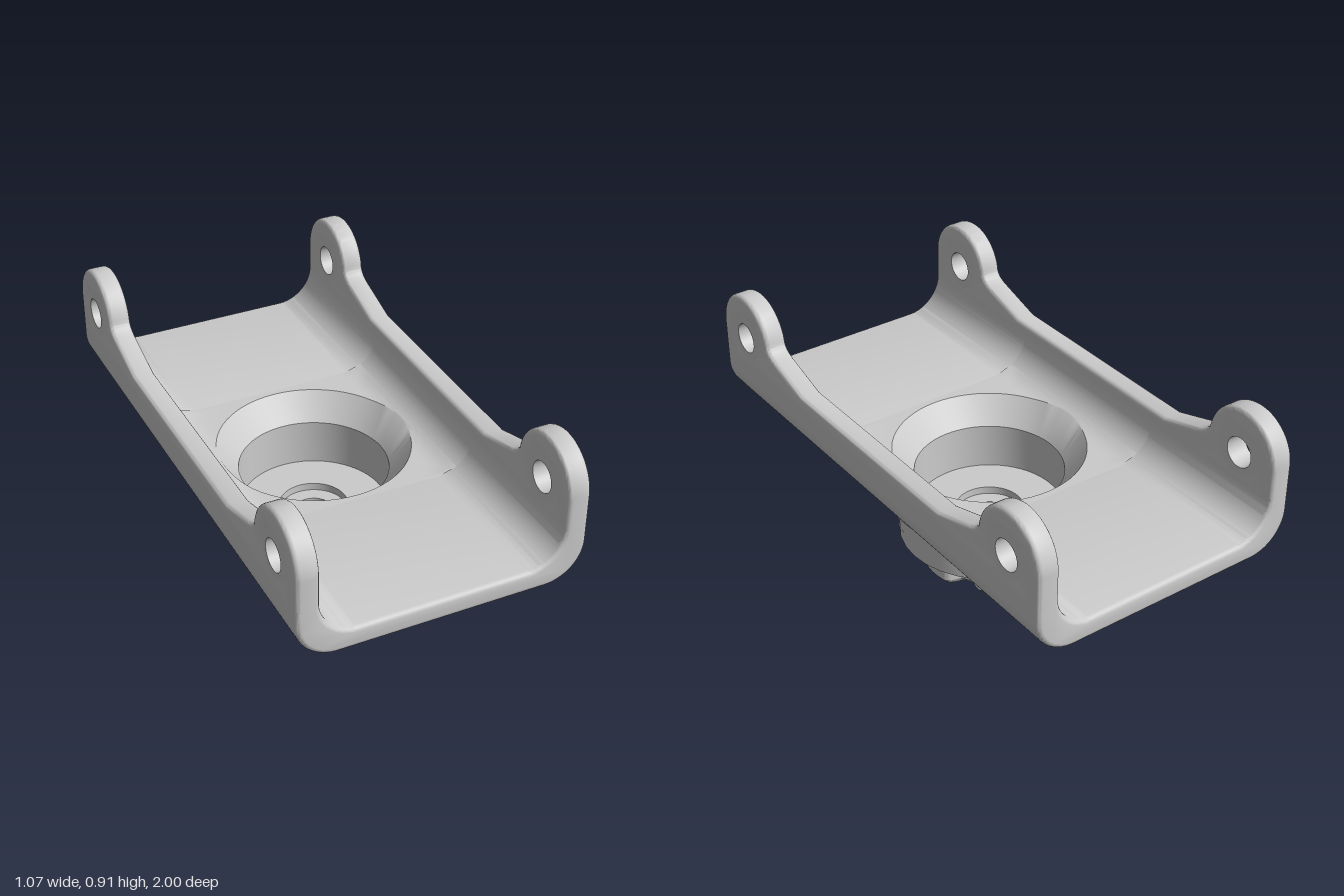
import * as THREE from 'three';
import { toCreasedNormals } from 'three/addons/utils/BufferGeometryUtils.js';
import { ParametricGeometry } from 'three/addons/geometries/ParametricGeometry.js';

const material = new THREE.MeshStandardMaterial({ color: 0xcccccc, side: THREE.DoubleSide });
const BEVEL = 0.018;
const WALL_IN = 0.45, WALL_OUT = 0.535, FLOOR = 0.42, FLOOR_TOP = 0.5;
const HALF = 0.385;      // half width of the floor panel around the pocket
const FILLET = 0.14;     // inner radius between floor and wall
const SLICES = 64;
const V = (x, y) => new THREE.Vector2(x, y);

function part(group, name, geometry) {
  const mesh = new THREE.Mesh(toCreasedNormals(geometry, 0.6), material);
  mesh.name = name;
  group.add(mesh);
  return mesh;
}

// Extrusion centred on z, with optional rounded edges inside the outline
function extrude(shape, depth, bevel = 0) {
  return new THREE.ExtrudeGeometry(shape, {
    depth: depth - 2 * bevel, curveSegments: 16, bevelEnabled: bevel > 0,
    bevelThickness: bevel, bevelSize: bevel, bevelOffset: -bevel, bevelSegments: 4,
  }).translate(0, 0, -depth / 2 + bevel);
}

// Extrusion standing upright between two heights
const upright = (shape, y0, y1) =>
  extrude(shape, y1 - y0).rotateX(-Math.PI / 2).translate(0, (y0 + y1) / 2, 0);

function circle(x, y, r, Type = THREE.Path) {
  return new Type().absarc(x, y, r, 0, Math.PI * 2, false);
}

// Height of the channel floor, rising along the inner fillet
function floorHeight(x) {
  const d = Math.max(0, Math.abs(x) - (WALL_IN - FILLET));
  return FLOOR_TOP + FILLET - Math.sqrt(FILLET * FILLET - d * d);
}

// Full U-shaped section for the ends of the channel
function channelSection() {
  const top = 0.64, c = WALL_IN - FILLET;
  const s = new THREE.Shape();
  s.moveTo(-HALF, FLOOR).lineTo(HALF, FLOOR);
  s.absarc(HALF, 0.57, 0.15, -Math.PI / 2, 0, false);
  s.lineTo(WALL_OUT, top).lineTo(WALL_IN, top);
  s.absarc(c, top, FILLET, 0, -Math.PI / 2, true);
  s.lineTo(-c, FLOOR_TOP);
  s.absarc(-c, top, FILLET, -Math.PI / 2, -Math.PI, true);
  s.lineTo(-WALL_OUT, top).lineTo(-WALL_OUT, 0.57);
  s.absarc(-HALF, 0.57, 0.15, Math.PI, Math.PI * 1.5, false);
  return s;
}

// Rounded lower corner beside the pocket
function cornerSection() {
  const c = WALL_IN - FILLET;
  const s = new THREE.Shape();
  s.moveTo(HALF, FLOOR);
  s.absarc(HALF, 0.57, 0.15, -Math.PI / 2, 0, false);
  s.lineTo(WALL_OUT, 0.64).lineTo(WALL_IN, 0.64);
  s.absarc(c, 0.64, FILLET, 0, -Math.acos((HALF - c) / FILLET), true);
  return s;
}

// Side wall outline with an ear at each end
function wallOutline() {
  const s = new THREE.Shape();
  s.moveTo(-1, 0.58).lineTo(1, 0.58).lineTo(1, 0.75);
  s.absarc(0.835, 0.75, 0.165, 0, Math.PI * 0.96, false);
  s.quadraticCurveTo(0.66, 0.745, 0.61, 0.732);
  s.lineTo(0.44, 0.68).lineTo(-0.44, 0.68).lineTo(-0.61, 0.732);
  s.quadraticCurveTo(-0.66, 0.745, -0.835 + 0.165 * Math.cos(0.04 * Math.PI), 0.75 + 0.165 * Math.sin(0.04 * Math.PI));
  s.absarc(-0.835, 0.75, 0.165, 0.04 * Math.PI, Math.PI, false);
  s.holes.push(circle(0.83, 0.745, 0.07), circle(-0.83, 0.745, 0.07));
  return s;
}

// Foot outline with three smooth notches
function footOutline() {
  const pts = [];
  for (let i = 0; i < 180; i++) {
    const a = (i / 180) * Math.PI * 2;
    const step = (Math.PI * 2) / 3;
    const off = (a + Math.PI / 2) / step;
    const arc = Math.abs(off - Math.round(off)) * step * 0.257;
    const r = 0.257 - 0.05 * (1 - THREE.MathUtils.smoothstep(arc, 0.02, 0.075));
    pts.push(V(r * Math.cos(a), r * Math.sin(a)));
  }
  const s = new THREE.Shape(pts);
  s.holes.push(circle(0, 0, 0.075));
  return s;
}

export function createModel() {
  const model = new THREE.Group();
  model.name = 'bracket';

  // Channel: rounded ends, corners, walls and ear bushings
  const endFrom = HALF - 0.02;
  for (const side of [1, -1]) {
    part(model, 'channelEnd', extrude(channelSection(), 1 - endFrom, BEVEL)
      .translate(0, 0, side * (1 + endFrom) / 2));

    const corner = extrude(cornerSection(), HALF * 2);
    part(model, 'channelCorner', side > 0 ? corner : corner.rotateY(Math.PI));

    const x = side * (WALL_IN + WALL_OUT) / 2;
    const thickness = WALL_OUT - WALL_IN;
    part(model, 'sideWall', extrude(wallOutline(), thickness, BEVEL)
      .rotateY(-Math.PI / 2).translate(x, 0, 0));
    for (const z of [0.83, -0.83]) {
      const ring = circle(0, 0, 0.092, THREE.Shape);
      ring.holes.push(circle(0, 0, 0.058));
      part(model, 'earHole', extrude(ring, thickness).rotateY(-Math.PI / 2).translate(x, 0.745, z));
    }
  }

  // Floor panel: cone of the pocket, then circle blended out to a square
  part(model, 'channelFloor', new ParametricGeometry((u, v, target) => {
    const a = u * Math.PI * 2, c = Math.cos(a), s = Math.sin(a);
    const edge = HALF / Math.max(Math.abs(c), Math.abs(s));
    const k = (v * 7 - 1) / 6;
    const r = v < 0.1 ? 0.28 : 0.36 + (edge - 0.36) * k;
    target.set(r * c, v < 0.1 ? 0.4 : floorHeight(r * c), r * s);
  }, SLICES, 7));

  // Underside around the neck
  const under = new THREE.Shape([V(-HALF, -HALF), V(HALF, -HALF), V(HALF, HALF), V(-HALF, HALF)]);
  under.holes.push(circle(0, 0, 0.36));
  part(model, 'underside', new THREE.ShapeGeometry(under, 32).rotateX(Math.PI / 2).translate(0, FLOOR, 0));

  // Stepped hub with flared neck outside and pocket inside
  const outer = [V(0.15, 0.19), V(0.343, 0.19), V(0.343, 0.312), V(0.387, 0.312), V(0.387, 0.375)];
  for (let i = 1; i <= 5; i++) {
    const a = (i / 5) * Math.PI / 2;
    outer.push(V(0.427 - 0.04 * Math.cos(a), 0.375 + 0.047 * Math.sin(a)));
  }
  part(model, 'hub', new THREE.LatheGeometry(outer, SLICES));
  part(model, 'pocket', new THREE.LatheGeometry(
    [V(0.28, 0.4), V(0.28, 0.22), V(0.13, 0.22), V(0.13, 0.19)], SLICES));

  // Hub step with three blind holes above the notches
  const step = circle(0, 0, 0.343, THREE.Shape);
  step.curveSegments = SLICES;
  step.holes.push(circle(0, 0, 0.075));
  for (let i = 0; i < 3; i++) {
    const a = -Math.PI / 2 + (i * Math.PI * 2) / 3;
    step.holes.push(circle(0.26 * Math.cos(a), 0.26 * Math.sin(a), 0.045));
  }
  part(model, 'hubStep', upright(step, 0.14, 0.19));

  // Notched foot with a chamfered bottom edge
  part(model, 'foot', upright(footOutline(), 0.02, 0.14));
  const chamfer = upright(footOutline(), 0, 0.02);
  const p = chamfer.attributes.position;
  for (let i = 0; i < p.count; i++) {
    if (p.getY(i) < 0.01 && Math.hypot(p.getX(i), p.getZ(i)) > 0.15) {
      p.setX(i, p.getX(i) * 0.92);
      p.setZ(i, p.getZ(i) * 0.92);
    }
  }
  chamfer.computeVertexNormals();
  part(model, 'footChamfer', chamfer);

  return model;
}
